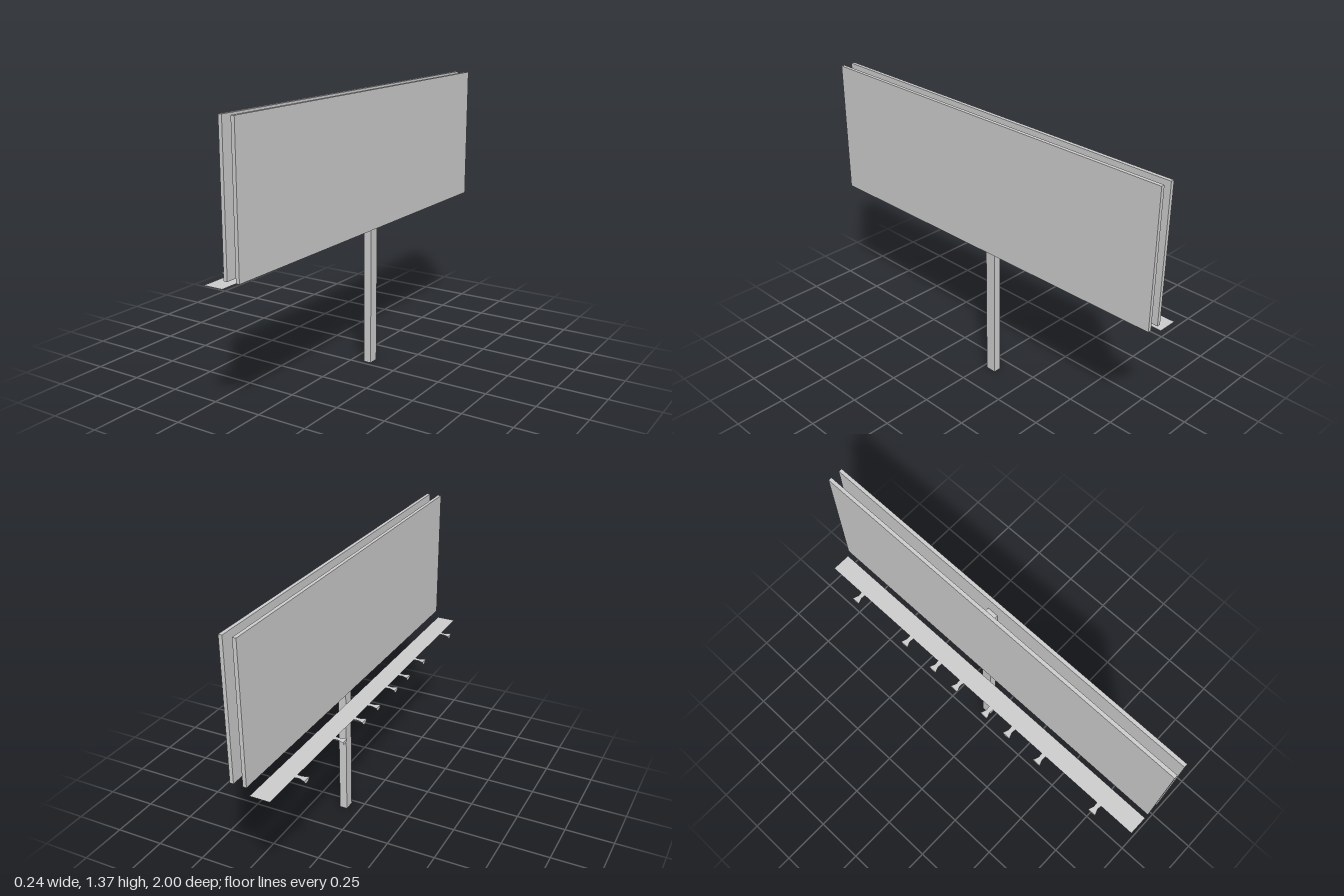
import * as THREE from 'three';

const material = new THREE.MeshStandardMaterial({ color: 0xcccccc, flatShading: true });
const thin = new THREE.MeshStandardMaterial({ color: 0xcccccc, flatShading: true, side: THREE.DoubleSide });

// Box given by its lower and upper corners
function box(name, [x0, y0, z0], [x1, y1, z1]) {
  const mesh = new THREE.Mesh(new THREE.BoxGeometry(x1 - x0, y1 - y0, z1 - z0), material);
  mesh.name = name;
  mesh.position.set((x0 + x1) / 2, (y0 + y1) / 2, (z0 + z1) / 2);
  return mesh;
}

// Flat lamp: a flared arm with a half-round shade hanging from its outer end
function lamp(z) {
  const group = new THREE.Group();
  group.name = 'lamp';
  const outline = [[0, -0.013], [-0.024, -0.011], [-0.053, -0.022], [-0.053, 0.022], [-0.024, 0.011], [0, 0.013]];
  const armShape = new THREE.Shape(outline.map(([x, y]) => new THREE.Vector2(x, y)));
  const arm = new THREE.Mesh(new THREE.ShapeGeometry(armShape).rotateX(-Math.PI / 2), thin);
  arm.name = 'lampArm';
  const shade = new THREE.Mesh(
    new THREE.CircleGeometry(0.022, 10, Math.PI, Math.PI).scale(1, 0.8, 1).rotateY(-Math.PI / 2), thin);
  shade.name = 'lampShade';
  shade.position.x = -0.053;
  group.add(arm, shade);
  group.position.set(-0.068, 0.661, z);
  return group;
}

export function createModel() {
  const model = new THREE.Group();
  model.name = 'billboard';

  // Supporting frame
  model.add(box('post', [0.064, 0, -0.078], [0.104, 1.285, -0.023]));
  model.add(box('crossbar', [0.057, 1.14, -0.912], [0.091, 1.195, 0.914]));

  // Two display boards
  model.add(box('rightBoard', [0.04, 0.697, -1], [0.058, 1.373, 1]));
  model.add(box('leftBoard', [0.103, 0.697, -1], [0.121, 1.373, 1]));

  // Thin walkway below the boards
  const walkway = new THREE.Mesh(new THREE.PlaneGeometry(0.098, 2).rotateX(-Math.PI / 2), thin);
  walkway.name = 'walkway';
  walkway.position.set(-0.02, 0.66, 0);
  model.add(walkway);

  // Row of lamps along the outer edge
  for (const z of [0.8, 0.45, 0.253, 0.105, -0.095, -0.243, -0.44, -0.787]) model.add(lamp(z));

  return model;
}
